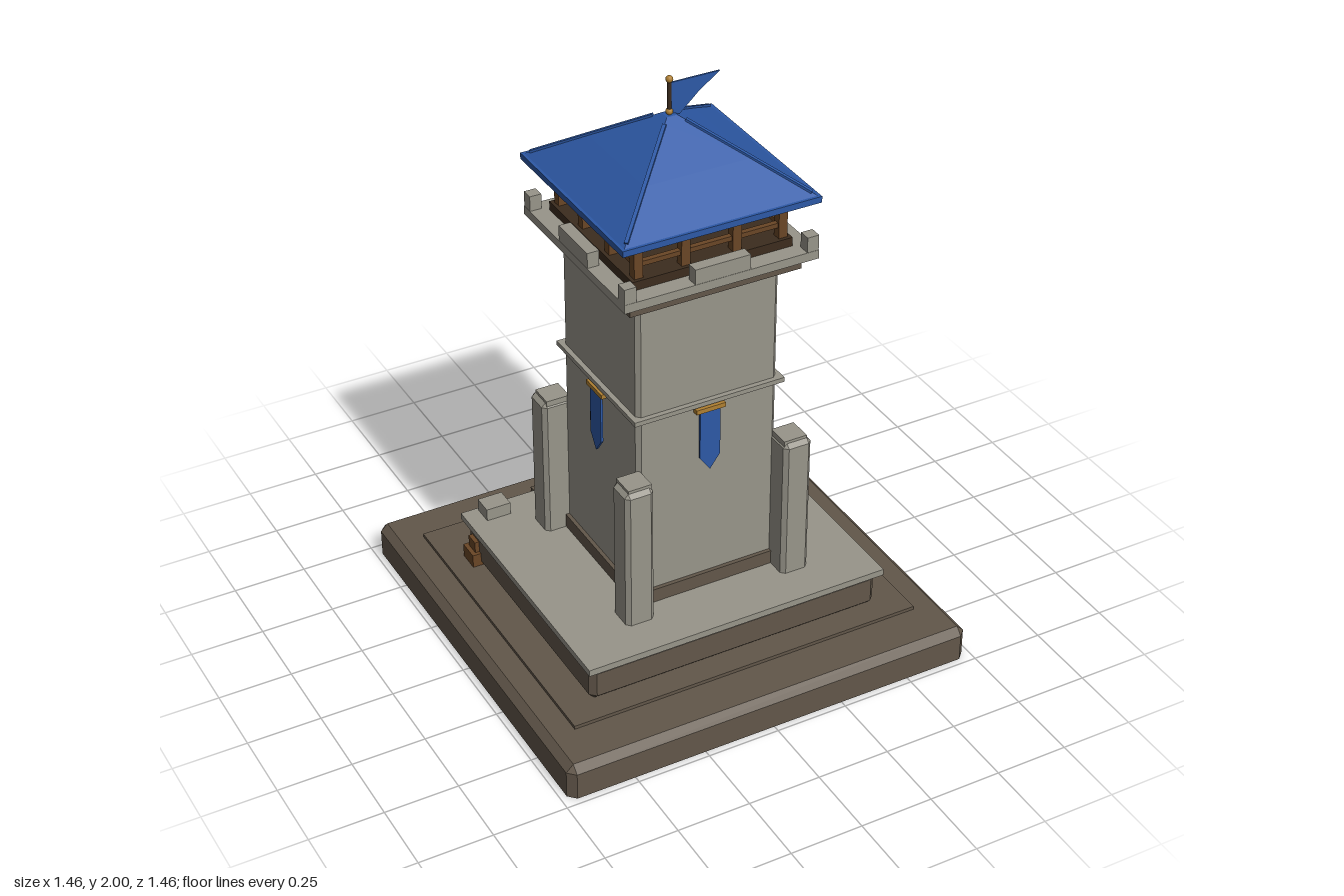
import * as THREE from 'three';
import { ConvexGeometry } from 'three/addons/geometries/ConvexGeometry.js';

const mat = (name, color) => {
  const m = new THREE.MeshStandardMaterial({ color });
  m.name = name;
  return m;
};

export function createModel() {
  const stone = mat('stone', 0x98958a), earth = mat('earthBrown', 0x62574a);
  const wood = mat('wood', 0x6a4626), dark = mat('darkWood', 0x3c2c1e);
  const blue = mat('blue', 0x2d59a6), gold = mat('gold', 0xb08032);

  const model = new THREE.Group();
  model.name = 'watchtower';
  const tower = new THREE.Group();
  tower.name = 'tower';
  tower.position.z = 0.03;
  model.add(tower);

  const add = (parent, name, geo, material, x = 0, y = 0, z = 0) => {
    const m = new THREE.Mesh(geo, material);
    m.name = name;
    m.position.set(x, y, z);
    parent.add(m);
    return m;
  };
  // Box given by centre x/z and its bottom and top heights
  const box = (parent, name, material, w, d, y0, y1, x = 0, z = 0) =>
    add(parent, name, new THREE.BoxGeometry(w, y1 - y0, d), material, x, (y0 + y1) / 2, z);

  // Block with chamfered corners; top and bottom edges optionally chamfered
  const chamferBox = (parent, name, material, w, d, y0, y1, c, cTop, cBottom, x = 0, z = 0) => {
    const pts = [];
    const ring = (hx, hz, y) => {
      for (const sx of [-1, 1]) for (const sz of [-1, 1]) {
        pts.push(new THREE.Vector3(sx * hx, y, sz * (hz - c)), new THREE.Vector3(sx * (hx - c), y, sz * hz));
      }
    };
    const cap = (y) => {
      for (const sx of [-1, 1]) for (const sz of [-1, 1]) {
        pts.push(new THREE.Vector3(sx * (w / 2 - c), y, sz * (d / 2 - c)));
      }
    };
    ring(w / 2, d / 2, cBottom ? y0 + c : y0);
    ring(w / 2, d / 2, cTop ? y1 - c : y1);
    if (cBottom) cap(y0);
    if (cTop) cap(y1);
    return add(parent, name, new ConvexGeometry(pts), material, x, 0, z);
  };

  // Square frustum from half-width a at y0 to half-width b at y1
  const frustum = (parent, name, material, a, b, y0, y1) => {
    const pts = [];
    for (const [h, y] of [[a, y0], [b, y1]])
      for (const sx of [-1, 1]) for (const sz of [-1, 1]) pts.push(new THREE.Vector3(sx * h, y, sz * h));
    return add(parent, name, new ConvexGeometry(pts), material);
  };

  // Ground base, plinth and terrace
  chamferBox(model, 'base', earth, 1.455, 1.455, 0, 0.12, 0.025, true, false);
  box(model, 'basePlate', earth, 1.25, 1.135, 0.115, 0.132, 0, -0.007);
  chamferBox(tower, 'plinth', earth, 1.05, 0.904, 0.128, 0.255, 0.02, true, true);
  box(tower, 'terrace', stone, 1.08, 0.94, 0.253, 0.276);
  for (const s of [-1, 1]) box(model, 'terraceBlock', stone, 0.087, 0.07, 0.27, 0.32, s * 0.437, -0.394);
  box(model, 'sideCrate', wood, 0.04, 0.075, 0.13, 0.18, -0.535, -0.36);
  box(model, 'sideCrateTop', wood, 0.03, 0.05, 0.18, 0.22, -0.525, -0.36);

  // Entrance steps at the back
  box(model, 'upperStep', earth, 0.315, 0.085, 0.13, 0.274, 0, -0.4525);
  box(model, 'lowerStep', earth, 0.315, 0.1, 0.13, 0.2, 0, -0.525);
  box(model, 'stepPlate', earth, 0.38, 0.13, 0.125, 0.145, 0, -0.563);

  // Tower shaft and bands
  chamferBox(tower, 'shaft', stone, 0.498, 0.498, 0.27, 1.455, 0.014, false, false);
  box(tower, 'footBand', earth, 0.525, 0.525, 0.274, 0.325);
  box(tower, 'middleBand', stone, 0.532, 0.532, 0.98, 0.996);
  box(tower, 'upperBand', earth, 0.592, 0.592, 1.403, 1.428);

  // Corner buttresses
  for (const sx of [-1, 1]) for (const sz of [-1, 1]) {
    chamferBox(tower, 'buttress', stone, 0.1, 0.1, 0.27, 0.782, 0.014, true, false, sx * 0.284, sz * 0.286);
    box(tower, 'buttressCap', stone, 0.082, 0.082, 0.77, 0.792, sx * 0.279, sz * 0.281);
  }
  // Worn stones beside one rear buttress
  for (const y of [0.44, 0.54]) {
    box(tower, 'wallStone', stone, 0.016, 0.05, y, y + 0.07, 0.25, -0.215);
    box(tower, 'wallStone', stone, 0.05, 0.016, y, y + 0.07, 0.215, -0.25);
  }

  // Door and window slits
  box(tower, 'doorFrame', dark, 0.145, 0.03, 0.276, 0.485, 0, -0.25);
  box(tower, 'door', wood, 0.12, 0.038, 0.276, 0.472, 0, -0.25);
  for (const s of [-1, 1]) box(tower, 'sideSlit', dark, 0.02, 0.05, 0.775, 0.875, s * 0.247, -0.03);
  box(tower, 'rearSlit', dark, 0.05, 0.024, 0.955, 1.045, 0, -0.25);

  // Banners, one on each wall
  const plate = (pts, t) => new THREE.ExtrudeGeometry(
    new THREE.Shape(pts.map(([x, y]) => new THREE.Vector2(x, y))), { depth: t, bevelEnabled: false });
  for (let i = 0; i < 4; i++) {
    const b = new THREE.Group();
    b.name = 'banner';
    b.rotation.y = i * Math.PI / 2;
    tower.add(b);
    add(b, 'bannerCloth', plate([[-0.036, 0.96], [-0.036, 0.785], [0, 0.735], [0.036, 0.785], [0.036, 0.96]], 0.008),
      blue, 0, 0, 0.258);
    if (i === 1 || i === 2)
      add(b, 'bannerTip', plate([[-0.036, 0.795], [-0.036, 0.784], [0, 0.734], [0.036, 0.784], [0.036, 0.795]], 0.003),
        gold, 0, 0, 0.265);
    box(b, 'bannerRod', gold, 0.104, 0.026, 0.958, 0.974, 0, 0.258);
  }

  // Parapet with corner and middle merlons
  box(tower, 'parapetFloor', stone, 0.668, 0.668, 1.448, 1.478);
  box(tower, 'deck', dark, 0.55, 0.55, 1.475, 1.508);
  for (const sx of [-1, 1]) for (const sz of [-1, 1])
    box(tower, 'cornerMerlon', stone, 0.04, 0.04, 1.475, 1.53, sx * 0.313, sz * 0.313);
  for (const s of [-1, 1]) {
    box(tower, 'merlon', stone, 0.19, 0.04, 1.475, 1.53, 0, s * 0.313);
    box(tower, 'merlon', stone, 0.04, 0.19, 1.475, 1.53, s * 0.313, 0);
  }

  // Open gallery of posts and rails
  const spots = [-0.248, -0.088, 0.088, 0.248];
  for (const x of spots) for (const z of spots)
    if (Math.abs(x) > 0.2 || Math.abs(z) > 0.2) box(tower, 'post', wood, 0.03, 0.03, 1.5, 1.645, x, z);
  for (const s of [-1, 1]) for (const [y0, y1] of [[1.544, 1.56], [1.6, 1.62]]) {
    box(tower, 'rail', wood, 0.49, 0.018, y0, y1, 0, s * 0.248);
    box(tower, 'rail', wood, 0.018, 0.49, y0, y1, s * 0.248, 0);
  }

  // Hipped roof with ridges
  const roof = new THREE.Group();
  roof.name = 'roof';
  roof.position.z = -0.003;
  tower.add(roof);
  box(roof, 'eaves', blue, 0.676, 0.676, 1.643, 1.664);
  frustum(roof, 'lowerRoof', blue, 0.328, 0.184, 1.664, 1.762);
  frustum(roof, 'upperRoof', blue, 0.184, 0.036, 1.762, 1.86);
  frustum(roof, 'roofCap', blue, 0.036, 0.018, 1.86, 1.872);
  for (const sx of [-1, 1]) for (const sz of [-1, 1]) {
    const a = new THREE.Vector3(sx * 0.315, 1.672, sz * 0.315);
    const b = new THREE.Vector3(sx * 0.036, 1.859, sz * 0.036);
    const ridge = add(roof, 'ridge', new THREE.BoxGeometry(0.012, 0.012, a.distanceTo(b)), blue);
    ridge.position.copy(a).lerp(b, 0.5);
    ridge.lookAt(b.clone().add(new THREE.Vector3(0, 0, 0.027)));
  }

  // Flagpole, finials and pennant
  add(roof, 'flagpole', new THREE.CylinderGeometry(0.007, 0.007, 0.13, 8), dark, 0, 1.925, 0);
  for (const y of [1.88, 1.988]) add(roof, 'finial', new THREE.SphereGeometry(0.012, 10, 8), gold, 0, y, 0);
  add(roof, 'pennant', plate([[0.005, 1.976], [0.005, 1.872], [0.035, 1.865], [0.1, 1.925], [0.172, 1.976]], 0.006),
    blue, 0, 0, -0.003);

  return model;
}
